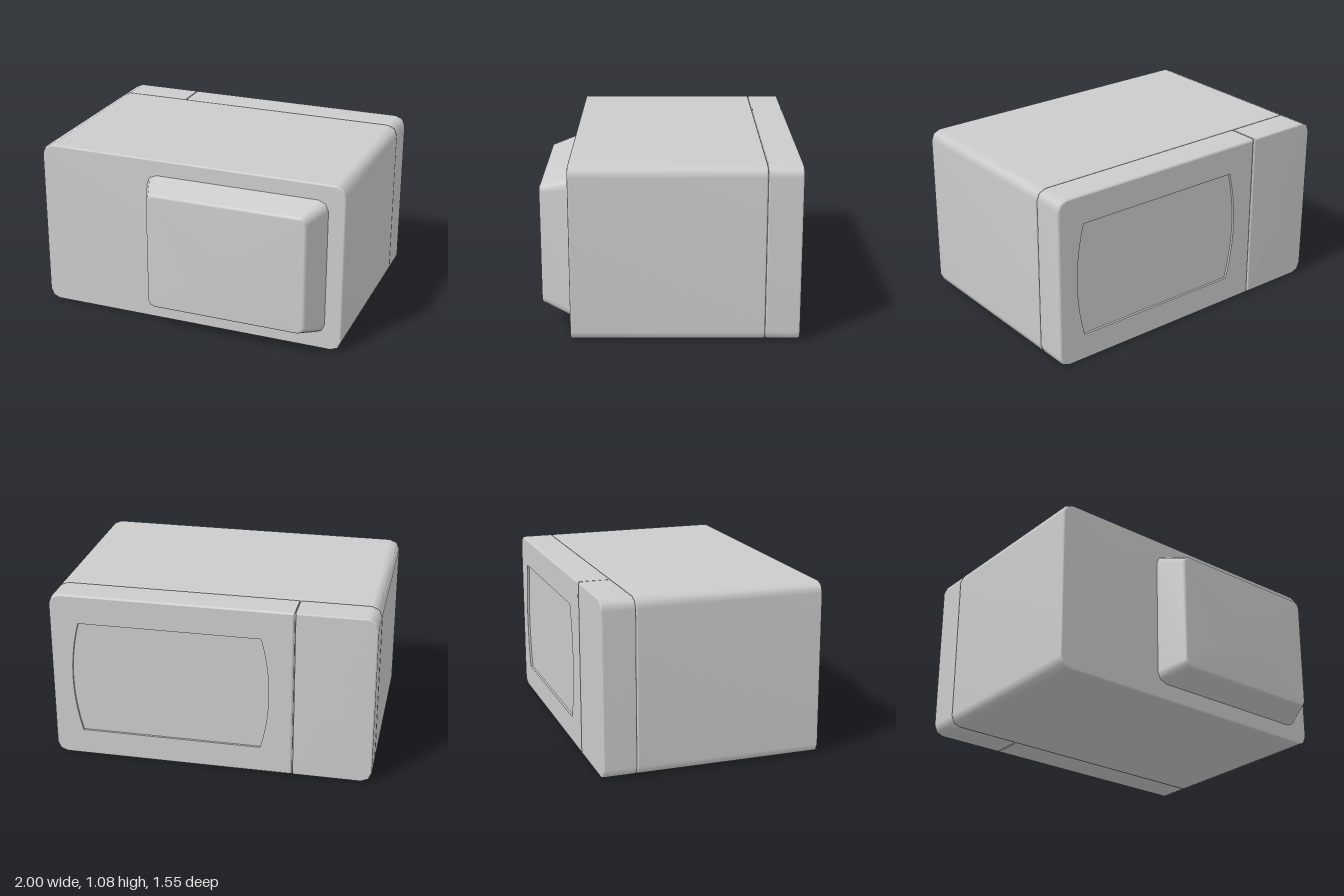
import * as THREE from 'three';
import { toCreasedNormals } from 'three/addons/utils/BufferGeometryUtils.js';

const H = 1.083;
const DOOR_Z = 0.775, SEAM_Z = 0.567, BACK_Z = -0.595, SPLIT_X = 0.51;
const grey = new THREE.MeshStandardMaterial({ color: 0xcccccc });

// Counter-clockwise rounded rectangle, with separate radii for its left and right corners
function roundRect(x0, x1, y0, y1, rl, rr = rl, inset = 0) {
  const pts = [];
  x0 += inset; y0 += inset; x1 -= inset; y1 -= inset;
  rl = Math.max(rl - inset, 0.004);
  rr = Math.max(rr - inset, 0.004);
  const corners = [[x1 - rr, y1 - rr, rr], [x0 + rl, y1 - rl, rl], [x0 + rl, y0 + rl, rl], [x1 - rr, y0 + rr, rr]];
  corners.forEach(([cx, cy, r], q) => {
    for (let i = 0; i <= 2; i++) {
      const a = (q + i / 2) * Math.PI / 2;
      pts.push(new THREE.Vector2(cx + r * Math.cos(a), cy + r * Math.sin(a)));
    }
  });
  return pts;
}

// Skin through matching outlines stacked along z; each ring is [points, z]
function loft(rings, capStart = true, capEnd = true) {
  const n = rings[0][0].length, pos = [], idx = [];
  for (const [pts, z] of rings) for (const p of pts) pos.push(p.x, p.y, z);
  for (let i = 0; i < rings.length - 1; i++) {
    for (let j = 0; j < n; j++) {
      const k = (j + 1) % n, a = i * n + j, b = i * n + k;
      idx.push(a, b, b + n, a, b + n, a + n);
    }
  }
  const cap = (ring, flip) => {
    const [pts, z] = rings[ring], c = pos.length / 3;
    const mid = pts.reduce((s, p) => s.add(p), new THREE.Vector2()).divideScalar(n);
    pos.push(mid.x, mid.y, z);
    for (let j = 0; j < n; j++) {
      const a = ring * n + j, b = ring * n + (j + 1) % n;
      idx.push(c, flip ? b : a, flip ? a : b);
    }
  };
  if (capStart) cap(0, true);
  if (capEnd) cap(rings.length - 1, false);
  const g = new THREE.BufferGeometry();
  g.setAttribute('position', new THREE.Float32BufferAttribute(pos, 3));
  g.setIndex(idx);
  g.computeVertexNormals();
  return g;
}

// Box with rounded corners in section and a small bevel at both ends
function bevelBox(x0, x1, z0, z1, rl, rr, capEnd = true, b = 0.012) {
  const ring = (inset, z) => [roundRect(x0, x1, 0, H, rl, rr, inset), z];
  return loft([
    ring(b, z0), ring(b * 0.3, z0 + b * 0.3), ring(0, z0 + b),
    ring(0, z1 - b), ring(b * 0.3, z1 - b * 0.3), ring(b, z1),
  ], true, capEnd);
}

export function createModel() {
  // Built with the door towards +z, then turned so the door is at the back
  const model = new THREE.Group();
  model.name = 'microwaveOven';
  const add = (name, geometry, parent = model) => {
    const m = new THREE.Mesh(geometry, grey);
    m.name = name;
    parent.add(m);
    return m;
  };

  // Main cabinet and control panel
  add('cabinet', bevelBox(-1, 1, BACK_Z, SEAM_Z, 0.065, 0.065));
  add('controlPanel', bevelBox(SPLIT_X + 0.002, 1, SEAM_Z, DOOR_Z, 0.004, 0.065));

  // Door: bevelled shell, front face with a bowed opening, recessed window
  const door = new THREE.Group();
  door.name = 'door';
  model.add(door);
  add('doorShell', bevelBox(-1, SPLIT_X - 0.002, SEAM_Z, DOOR_Z, 0.065, 0.004, false), door);

  const opening = new THREE.Shape();
  opening.moveTo(-0.82, 0.17);
  opening.lineTo(0.31, 0.17);
  opening.quadraticCurveTo(0.41, 0.535, 0.31, 0.9);
  opening.lineTo(-0.82, 0.9);
  opening.quadraticCurveTo(-0.92, 0.535, -0.82, 0.17);
  const outline = opening.getPoints(10).slice(0, -1);

  const face = new THREE.Shape(roundRect(-1, SPLIT_X - 0.002, 0, H, 0.065, 0.004, 0.012));
  face.holes.push(new THREE.Path([...outline].reverse()));
  add('doorFace', new THREE.ShapeGeometry(face).translate(0, 0, DOOR_Z), door);
  add('window', toCreasedNormals(loft([[outline, DOOR_Z], [outline, DOOR_Z - 0.014]], false, true), 0.5), door);

  // Tapered housing on the rear of the cabinet
  add('rearHousing', loft([
    [roundRect(-0.805, 0.19, 0.185, 0.91, 0.03), -0.775],
    [roundRect(-0.817, 0.202, 0.173, 0.922, 0.04), -0.768],
    [roundRect(-0.823, 0.208, 0.168, 0.927, 0.045), -0.755],
    [roundRect(-0.895, 0.275, 0.105, 0.982, 0.065), BACK_Z + 0.002],
  ], true, false));

  model.rotation.y = Math.PI;
  const root = new THREE.Group();
  root.name = 'model';
  root.add(model);
  return root;
}
